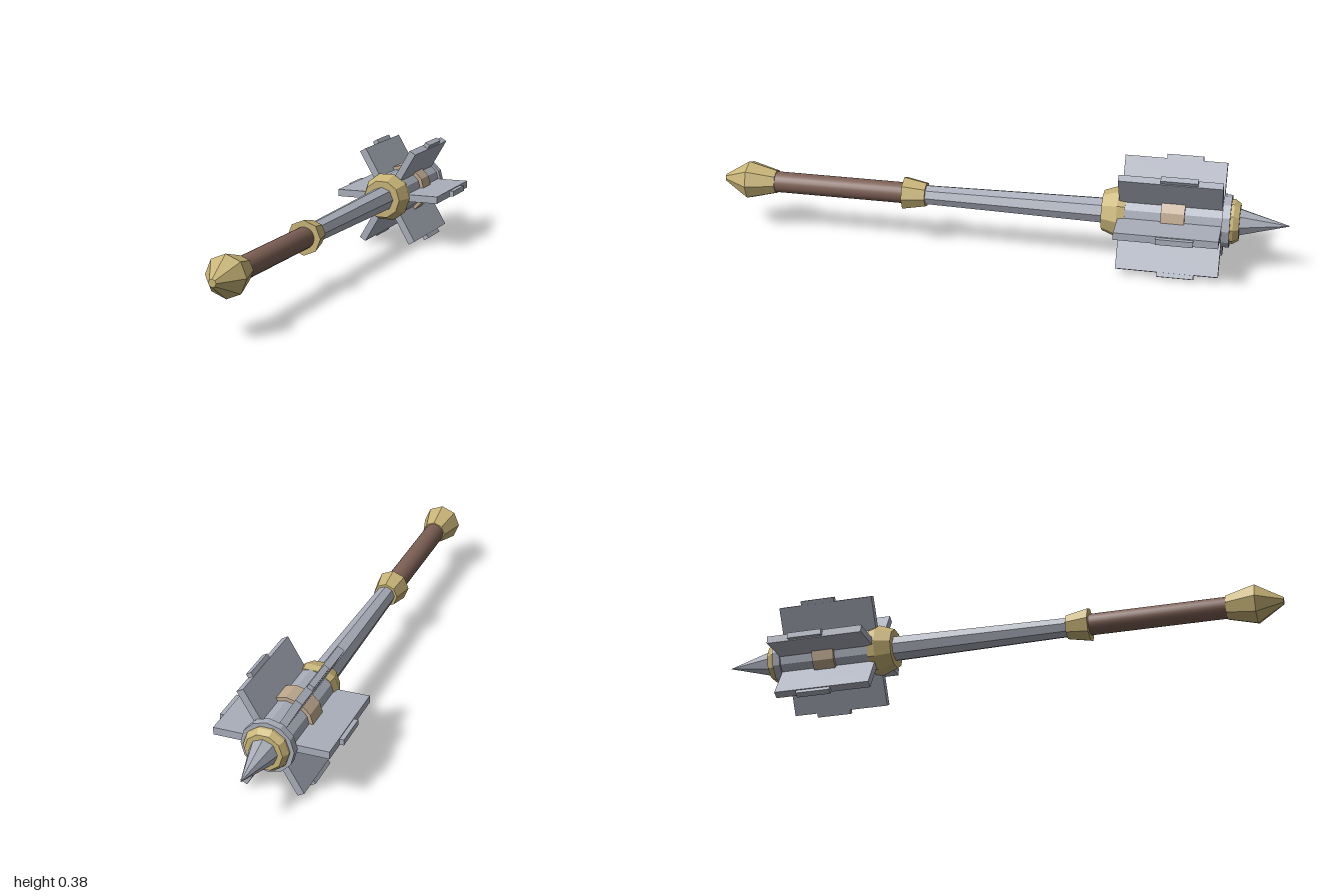
import * as THREE from 'three';

const AXIS_Y = 0.19; // height of the weapon's long axis

function material(name, color) {
  const m = new THREE.MeshStandardMaterial({ color });
  m.name = name;
  return m;
}

export function createModel() {
  const steel = material('steel', 0xa9aeba);
  const gold = material('gold', 0xc8b477);
  const leather = material('brown leather', 0x7d6055);
  const tan = material('tan', 0xbfa98f);

  const mace = new THREE.Group();
  mace.name = 'mace';
  mace.position.y = AXIS_Y;

  // Solid turned about the z axis. Profile is [radius, z] from front to back.
  // A corner lies on +x when turn is 0.
  function turned(name, mat, sides, profile, smooth = false, turn = 0) {
    const pts = [...profile].reverse().map(([r, z]) => new THREE.Vector2(r, z));
    pts.unshift(new THREE.Vector2(0, pts[0].y));
    pts.push(new THREE.Vector2(0, pts[pts.length - 1].y));
    let geo = new THREE.LatheGeometry(pts, sides);
    geo.rotateX(Math.PI / 2);
    geo.rotateZ(Math.PI / 2 + turn);
    if (!smooth) {
      geo = geo.toNonIndexed();
      geo.computeVertexNormals();
    }
    const mesh = new THREE.Mesh(geo, mat);
    mesh.name = name;
    mace.add(mesh);
  }

  // Handle
  turned('pommel', gold, 8, [[0.013, 1], [0.07, 0.91], [0.043, 0.81]]);
  turned('grip', leather, 24, [[0.037, 0.82], [0.037, 0.33]], true);
  turned('gripCollar', gold, 8, [[0.06, 0.34], [0.044, 0.26]]);
  turned('shaft', steel, 8, [[0.035, 0.27], [0.046, -0.38]]);

  // Head
  turned('headCollar', gold, 10, [[0.07, -0.365], [0.09, -0.42], [0.084, -0.447]]);
  turned('headCore', steel, 12, [[0.081, -0.44], [0.081, -0.78]]);
  turned('headBand', tan, 12, [[0.094, -0.57], [0.094, -0.65]]);
  turned('headRim', steel, 12, [[0.09, -0.775], [0.09, -0.802]]);
  turned('spikeCollar', gold, 10, [[0.077, -0.795], [0.077, -0.812], [0.064, -0.832]]);
  turned('spike', steel, 8, [[0.05, -0.825], [0.0005, -1]]);

  // Six flanges, each with a raised tab on its outer edge
  for (let i = 0; i < 6; i++) {
    const flange = new THREE.Group();
    flange.name = 'flange' + (i + 1);
    const plate = new THREE.Mesh(new THREE.BoxGeometry(0.155, 0.026, 0.35), steel);
    plate.name = 'flangePlate';
    plate.position.set(0.1185, 0, -0.6);
    const tab = new THREE.Mesh(new THREE.BoxGeometry(0.05, 0.02, 0.125), steel);
    tab.name = 'flangeTab';
    tab.position.set(0.186, 0, -0.63);
    flange.add(plate, tab);
    flange.rotation.z = (i * Math.PI) / 3;
    mace.add(flange);
  }

  const root = new THREE.Group();
  root.name = 'model';
  root.add(mace);
  return root;
}
